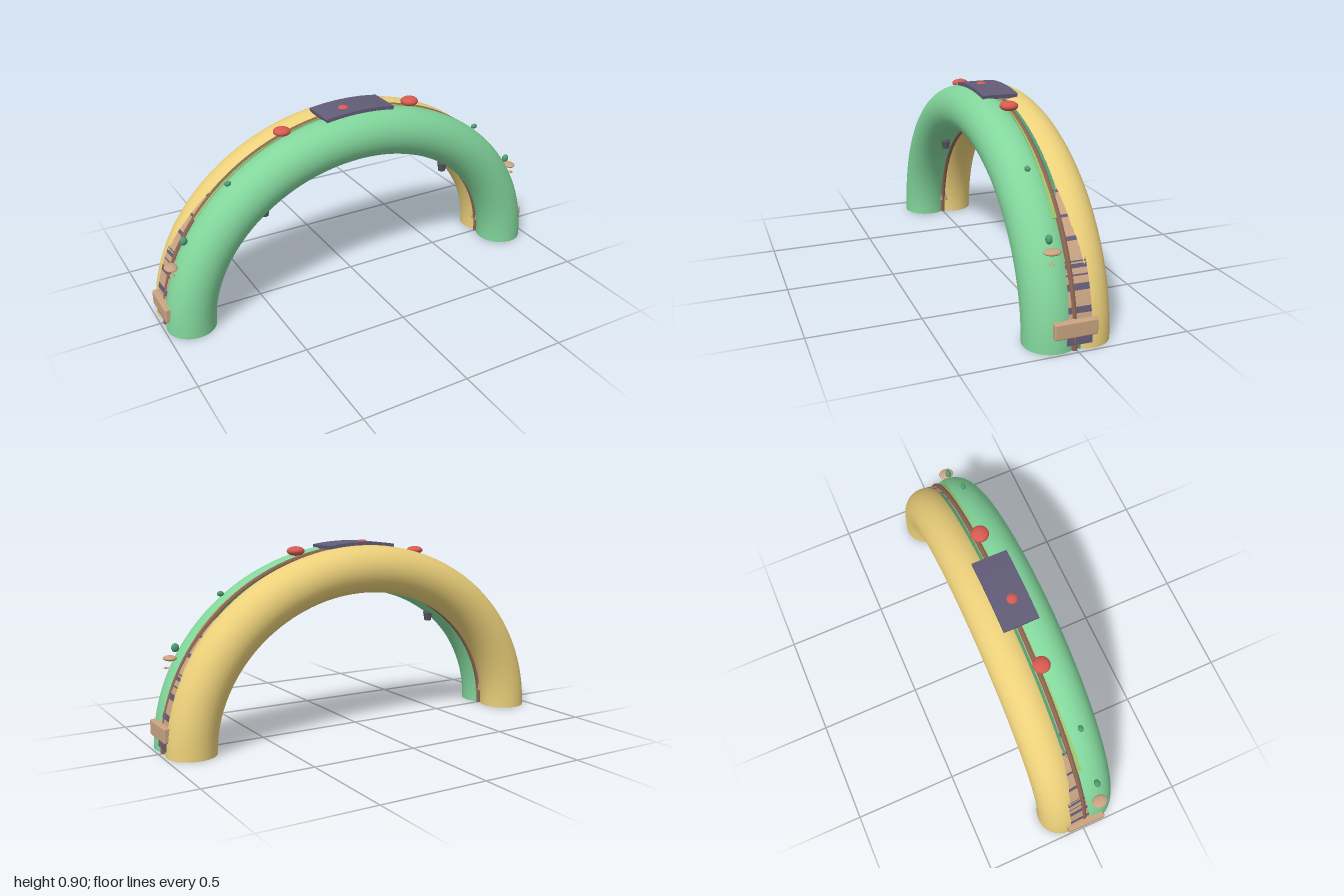
import * as THREE from 'three';
import { toCreasedNormals } from 'three/addons/utils/BufferGeometryUtils.js';
import { RoundedBoxGeometry } from 'three/addons/geometries/RoundedBoxGeometry.js';

const A = 0.875, B = 0.765; // half width and height of the arch centre line

const mat = (color) => new THREE.MeshStandardMaterial({ color });
const green = mat(0x82d69c), yellow = mat(0xecd07a), tan = mat(0xcaa482), purple = mat(0x625c78),
  brown = mat(0x8a6452), red = mat(0xd65a50), lime = mat(0x9cc46a), darkGreen = mat(0x4f9c72), grey = mat(0x55555f);

// Point on the arch at angle t, moved out along the normal by o
function archPoint(t, o, z) {
  const n = new THREE.Vector2(Math.cos(t) / A, Math.sin(t) / B).normalize();
  return new THREE.Vector3(A * Math.cos(t) + o * n.x, B * Math.sin(t) + o * n.y, z);
}

// Sweeps a closed [offset, z] profile, given as a function of t, along the arch
function sweep(profile, t0, t1, steps) {
  const pos = [], idx = [];
  const m = profile(t0).length;
  for (let j = 0; j <= steps; j++) {
    const t = t0 + (t1 - t0) * j / steps;
    for (const [o, z] of profile(t)) pos.push(...archPoint(t, o, z).toArray());
  }
  for (let j = 0; j < steps; j++) for (let i = 0; i < m; i++) {
    const a = j * m + i, b = j * m + (i + 1) % m;
    idx.push(a, a + m, b, b, a + m, b + m);
  }
  const e = steps * m;
  for (let k = 1; k < m - 1; k++) idx.push(0, k, k + 1, e, e + k + 1, e + k);
  const geo = new THREE.BufferGeometry();
  geo.setAttribute('position', new THREE.Float32BufferAttribute(pos, 3));
  geo.setIndex(idx);
  return toCreasedNormals(geo, 0.7);
}

const circle = (o, z, r, n) => () => Array.from({ length: n }, (_, i) => {
  const a = i / n * Math.PI * 2;
  return [o + r * Math.cos(a), z + r * Math.sin(a)];
});
const rect = (o0, o1, z0, z1) => () => [[o0, z0], [o1, z0], [o1, z1], [o0, z1]];

export function createModel() {
  const model = new THREE.Group();
  const add = (name, geo, material, x = 0, y = 0, z = 0) => {
    const mesh = new THREE.Mesh(geo, material);
    mesh.name = name;
    mesh.position.set(x, y, z);
    model.add(mesh);
    return mesh;
  };
  const ball = (name, material, x, y, z, sx, sy, sz) =>
    add(name, new THREE.SphereGeometry(1, 20, 12), material, x, y, z).scale.set(sx, sy, sz);

  // Two fat tubes side by side
  add('frontTube', sweep(circle(0, 0.075, 0.114, 36), 0, Math.PI, 72), green);
  add('backTube', sweep(circle(0, -0.075, 0.112, 36), 0, Math.PI, 72), yellow);

  // Cords and ribbons in the grooves
  add('outerCord', sweep(circle(0.1, 0.008, 0.012, 8), 0, Math.PI, 72), brown);
  add('innerCord', sweep(circle(-0.09, 0, 0.012, 8), 0, Math.PI, 72), brown);
  add('greenRibbon', sweep(rect(0.07, 0.098, -0.038, -0.008), 0, Math.PI, 64), darkGreen);
  const limeStart = Math.asin(0.49 / 0.86);
  add('limeRibbon', sweep((t) => {
    const w = 0.012 + 0.022 * (1 - Math.sin(t)) / 0.43;
    return [[0.08, 0.008], [0.106, 0.008], [0.108, 0.01 + w * 0.8], [0.08, 0.01 + w * 0.8]];
  }, limeStart, Math.PI - limeStart, 48), lime);

  // Striped planks climbing both legs, sinking into the groove as they rise
  const plank = (t) => {
    const k = Math.min(1, 0.86 * Math.sin(t) / 0.68);
    const right = 0.112 - 0.012 * k ** 4, left = 0.111 - 0.026 * k;
    return [[0.06, -0.066], [right, -0.066], [left, 0.045], [0.06, 0.045]];
  };
  const heights = [0.025, 0.07, 0.15, 0.175, 0.235, 0.26, 0.287, 0.293, 0.315, 0.33, 0.336, 0.341,
    0.41, 0.425, 0.49, 0.5, 0.573, 0.583, 0.635, 0.645, 0.69];
  for (let i = 0; i < heights.length - 1; i++) {
    const t0 = Math.asin(heights[i] / 0.86), t1 = Math.asin(heights[i + 1] / 0.86);
    const material = i % 2 ? tan : purple;
    add('plankLeft', sweep(plank, t0, t1, 3), material);
    add('plankRight', sweep(plank, Math.PI - t1, Math.PI - t0, 3), material);
  }

  // Curved plate on the crown with a tan lining
  const c = Math.PI / 2;
  add('crownPlate', sweep(rect(0.108, 0.127, -0.069, 0.1), c - 0.178, c + 0.182, 8), purple);
  add('crownLining', sweep(rect(0.1, 0.108, -0.06, 0.094), c - 0.172, c + 0.175, 8), tan);

  // Red buttons
  ball('buttonRight', red, -0.365, 0.835, 0.025, 0.04, 0.02, 0.04);
  ball('buttonLeft', red, 0.305, 0.855, 0.027, 0.042, 0.022, 0.042);
  ball('buttonTop', red, -0.053, 0.887, 0.025, 0.026, 0.011, 0.026);

  // Tan shelf discs on the front tube
  ball('shelfRight', tan, -0.945, 0.33, 0.08, 0.03, 0.012, 0.038);
  ball('shelfLeft', tan, 0.905, 0.403, 0.082, 0.03, 0.012, 0.038);
  ball('smallShelfRight', tan, -0.945, 0.295, 0.09, 0.012, 0.004, 0.012);
  ball('smallShelfLeft', tan, 0.92, 0.36, 0.09, 0.012, 0.004, 0.012);

  for (const s of [1, -1]) {
    // Clasp through each foot
    add('footClasp', new RoundedBoxGeometry(0.23, 0.07, 0.19, 2, 0.007), tan, s * 0.885, 0.1, 0.01);
    // Dark green bumps
    ball('lowerBump', darkGreen, s * 0.878, 0.447, 0.085, 0.018, 0.02, 0.014);
    ball('upperBump', darkGreen, s * 0.658, 0.673, 0.086, 0.016, 0.012, 0.012);
    // Tapered lamps under the arch
    add('lamp', new THREE.CylinderGeometry(0.024, 0.017, 0.04, 8), grey, s * 0.485, 0.483, 0.07);
    add('lampCap', new THREE.CylinderGeometry(0.017, 0.025, 0.016, 8), grey, s * 0.485, 0.51, 0.07);
  }
  return model;
}
